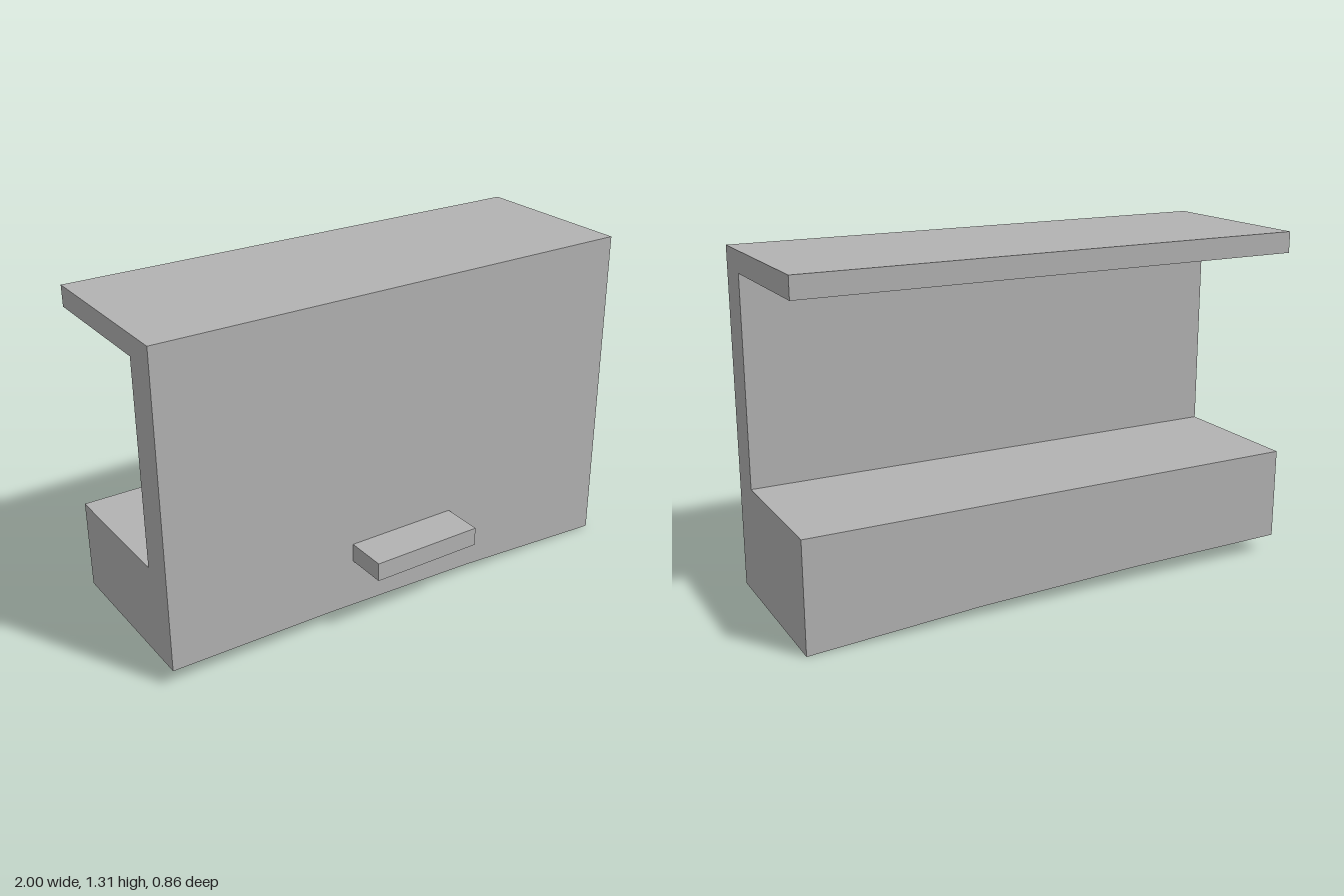
import * as THREE from 'three';

export function createModel() {
  const group = new THREE.Group();
  const grey = new THREE.MeshStandardMaterial({ color: 0xb2b2b2 });
  grey.name = 'grey';

  // C-shaped profile (u = -z, v = y): base, front wall and roof in one piece
  const profile = new THREE.Shape([
    [-0.262, 0], [0.43, 0], [0.43, 0.427], [-0.123, 0.427],
    [-0.123, 1.23], [0.43, 1.23], [0.43, 1.312], [-0.262, 1.312],
  ].map(([u, v]) => new THREE.Vector2(u, v)));
  const bodyGeometry = new THREE.ExtrudeGeometry(profile, { depth: 2, steps: 3, bevelEnabled: false });
  bodyGeometry.translate(0, 0, -1).rotateY(Math.PI / 2);

  // Underside bends gently down towards +x
  const undersideHeights = [0.068, 0.061, 0.04, 0];
  const position = bodyGeometry.attributes.position;
  for (let i = 0; i < position.count; i++) {
    if (position.getY(i) < 0.01) {
      const station = Math.round((position.getX(i) + 1) * 1.5);
      position.setY(i, undersideHeights[station]);
    }
  }
  bodyGeometry.computeVertexNormals();
  const body = new THREE.Mesh(bodyGeometry, grey);
  body.name = 'body';
  group.add(body);

  // Small ledge on the front wall
  const ledge = new THREE.Mesh(new THREE.BoxGeometry(0.456, 0.074, 0.168), grey);
  ledge.position.set(0, 0.29, 0.346);
  ledge.name = 'frontLedge';
  group.add(ledge);

  return group;
}
